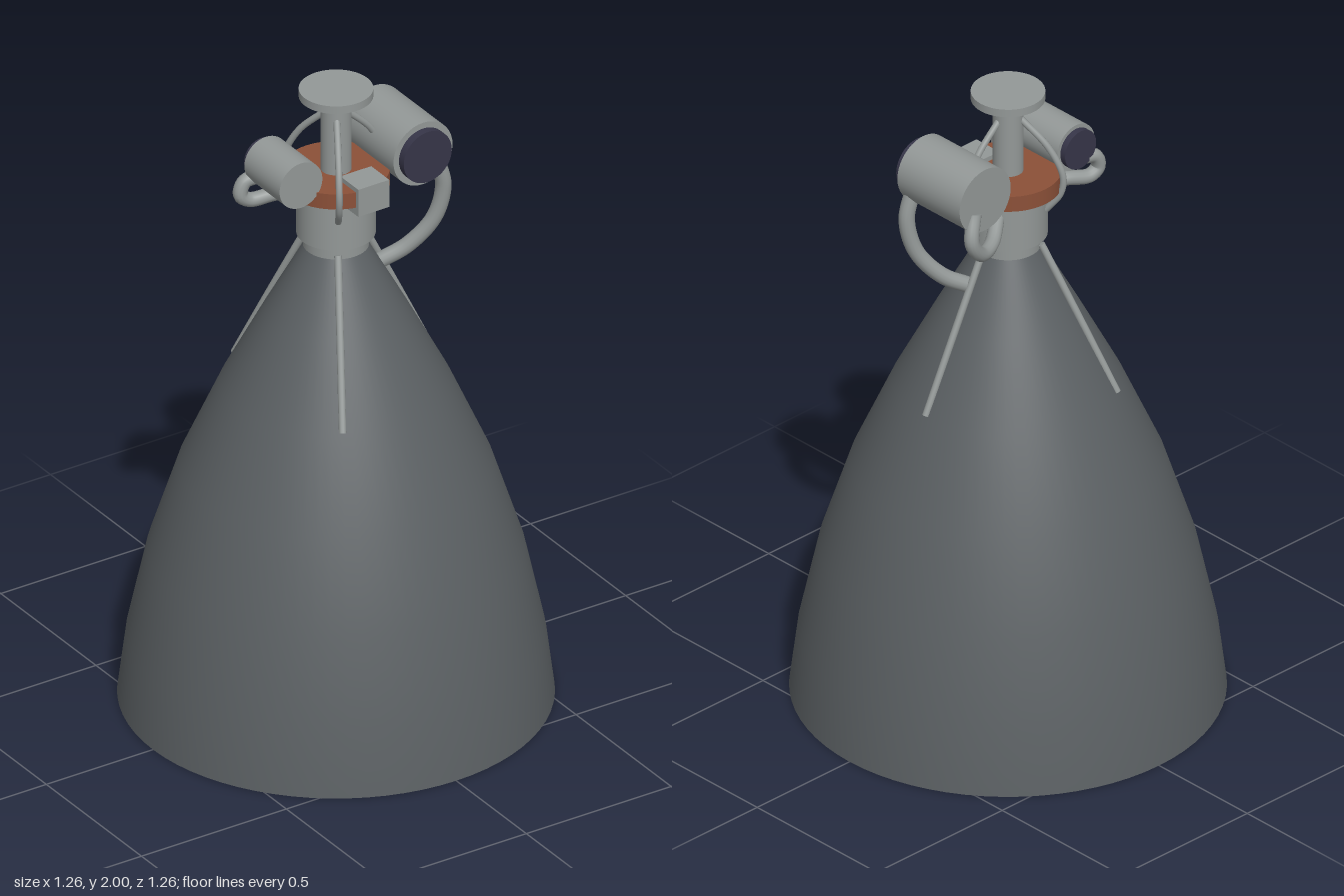
import * as THREE from 'three';

const mat = (name, color, side = THREE.FrontSide) => {
  const m = new THREE.MeshStandardMaterial({ color, side });
  m.name = name;
  return m;
};

export function createModel() {
  const bellGrey = mat('bell grey', 0x5b6063, THREE.DoubleSide);
  const metal = mat('light metal', 0x939897);
  const copper = mat('copper brown', 0x8b5038);
  const dark = mat('dark cap', 0x363548);

  const model = new THREE.Group();
  model.name = 'rocketEngine';

  const add = (name, geometry, material, x = 0, y = 0, z = 0, parent = model) => {
    const mesh = new THREE.Mesh(geometry, material);
    mesh.name = name;
    mesh.position.set(x, y, z);
    parent.add(mesh);
    return mesh;
  };
  // Upright cylinder between two heights
  const drum = (name, r, y0, y1, material) =>
    add(name, new THREE.CylinderGeometry(r, r, y1 - y0, 48), material, 0, (y0 + y1) / 2, 0);
  // Smooth pipe through points, with closed ends
  const pipe = (name, points, r, parent = model, segments = 40) => {
    const group = new THREE.Group();
    group.name = name;
    parent.add(group);
    const pts = points.map((p) => new THREE.Vector3(...p));
    const curve = new THREE.CatmullRomCurve3(pts);
    add(name + 'Tube', new THREE.TubeGeometry(curve, segments, r, 14), metal, 0, 0, 0, group);
    for (const t of [0, 1]) {
      const cap = add(name + 'End', new THREE.CircleGeometry(r, 14), metal, 0, 0, 0, group);
      const out = curve.getTangent(t).multiplyScalar(t ? 1 : -1);
      cap.position.copy(curve.getPoint(t));
      cap.quaternion.setFromUnitVectors(new THREE.Vector3(0, 0, 1), out);
    }
  };

  // Nozzle bell, open at the bottom
  const profile = [[0.632, 0], [0.607, 0.2], [0.546, 0.48], [0.455, 0.76],
    [0.335, 1.03], [0.21, 1.27], [0.09, 1.49]];
  add('nozzleBell', new THREE.LatheGeometry(
    profile.map(([r, y]) => new THREE.Vector2(r, y)), 72), bellGrey);

  // Combustion chamber stack
  drum('throatRing', 0.096, 1.485, 1.53, metal);
  drum('chamber', 0.115, 1.525, 1.70, metal);
  drum('injectorDisc', 0.156, 1.685, 1.735, copper);
  drum('feedPost', 0.045, 1.73, 1.98, metal);
  drum('topPlate', 0.108, 1.975, 2.0, metal);

  // Control box on the front
  add('controlBox', new THREE.BoxGeometry(0.107, 0.09, 0.095), metal, 0.022, 1.705, 0.1175);

  // Turbopumps lying along z, each with a dark end cap
  const pump = (name, x, y, r, z0, z1, capR, capZ0, capZ1) => {
    const group = new THREE.Group();
    group.name = name;
    model.add(group);
    const parts = [['Body', r, z0, z1, metal], ['Cap', capR, capZ0, capZ1, dark]];
    for (const [part, radius, a, b, material] of parts) {
      const g = new THREE.CylinderGeometry(radius, radius, b - a, 40).rotateX(Math.PI / 2);
      add(name + part, g, material, x, y, (a + b) / 2, group);
    }
  };
  pump('leftPump', 0.215, 1.777, 0.102, -0.13, 0.13, 0.083, 0.125, 0.155);
  pump('rightPump', -0.18, 1.775, 0.074, -0.095, 0.09, 0.062, -0.115, -0.09);

  // Three-way lines and braces around the axis
  for (let i = 0; i < 3; i++) {
    const arm = new THREE.Group();
    arm.name = 'arm' + (i + 1);
    arm.rotation.y = (i * Math.PI * 2) / 3;
    model.add(arm);
    pipe('bellBrace', [[0.1, 1.5, 0], [0.215, 1.27, 0], [0.328, 1.04, 0]], 0.011, arm, 8);
    pipe('feedLine', [[0.035, 1.915, 0], [0.12, 1.83, 0], [0.165, 1.74, 0],
      [0.158, 1.68, 0], [0.115, 1.62, 0]], 0.01, arm);
  }

  // Propellant pipes
  pipe('bellFeedPipe', [[0.275, 1.73, 0.11], [0.297, 1.64, 0.112], [0.275, 1.53, 0.095],
    [0.21, 1.44, 0.055], [0.14, 1.395, 0.02]], 0.024);
  pipe('leftPumpPipe', [[0.25, 1.74, -0.12], [0.275, 1.66, -0.138], [0.23, 1.6, -0.13],
    [0.16, 1.595, -0.1], [0.09, 1.635, -0.05]], 0.022);
  pipe('rightPumpPipe', [[-0.2, 1.73, -0.09], [-0.25, 1.72, -0.1], [-0.264, 1.68, -0.1],
    [-0.235, 1.658, -0.095], [-0.16, 1.668, -0.07], [-0.09, 1.665, -0.04]], 0.022);

  return model;
}
